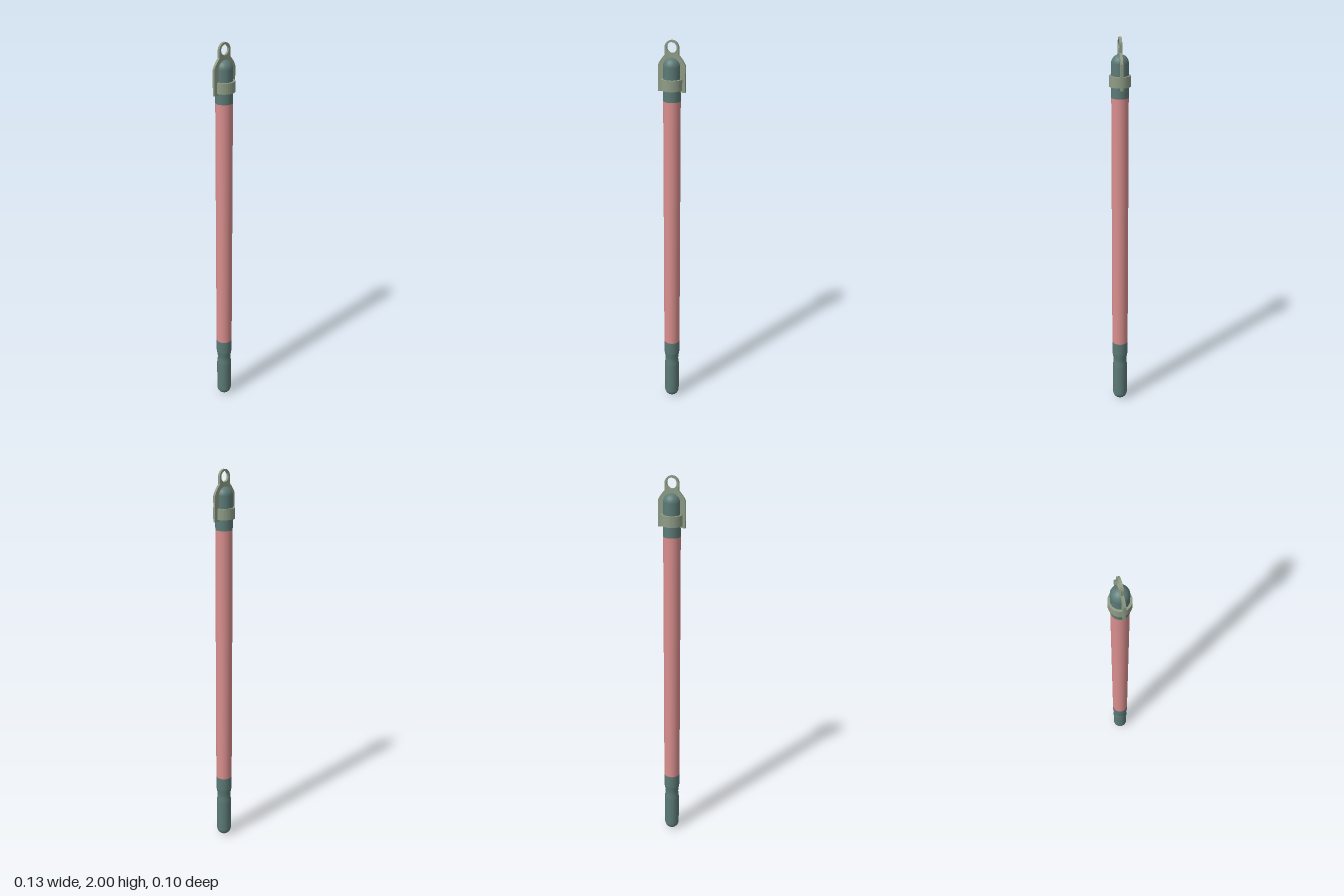
import * as THREE from 'three';

const mat = (color) => new THREE.MeshStandardMaterial({ color });

export function createModel() {
  const group = new THREE.Group();
  const rubber = mat(0x5c7a76), tube = mat(0xd98e8e), metal = mat(0x8f9c86);

  const add = (name, geometry, material) => {
    const mesh = new THREE.Mesh(geometry, material);
    mesh.name = name;
    group.add(mesh);
    return mesh;
  };
  const lathe = (points) => new THREE.LatheGeometry(points.map(([r, y]) => new THREE.Vector2(r, y)), 32);
  // quarter-circle profile of a dome; dir -1 gives a bottom, +1 a top
  const dome = (r, y, dir) => Array.from({ length: 9 }, (_, i) => {
    const a = (i / 8) * Math.PI / 2;
    return dir < 0 ? [r * Math.sin(a), y - r * Math.cos(a)] : [r * Math.cos(a), y + r * Math.sin(a)];
  });

  // waisted grip with rounded bottom
  const R = 0.042;
  add('grip', lathe([
    ...dome(0.039, 0.039, -1), [0.039, 0.205], [0.038, 0.225], [0.035, 0.243],
    [0.036, 0.262], [0.04, 0.285], [R, 0.3], [R, 0.366],
  ]), rubber);

  // long tube
  add('tube', new THREE.CylinderGeometry(R, R, 1.35, 32).translate(0, 1.041, 0), tube);

  // rounded top cap
  add('topCap', lathe([[R, 1.716], ...dome(R, 1.879, 1)]), rubber);

  // clamp band around the cap
  add('clampBand', lathe([
    [R, 1.77], [0.0525, 1.77], [0.0525, 1.77], [0.0525, 1.822], [0.0525, 1.822], [R, 1.822], [R, 1.77],
  ]).toNonIndexed(), metal).geometry.computeVertexNormals();

  // flat bracket with shoulders, cap cut-out and hanging eye
  const shape = new THREE.Shape();
  shape.moveTo(0.066, 1.76);
  shape.lineTo(0.066, 1.882);
  shape.quadraticCurveTo(0.063, 1.9, 0.034, 1.932);
  shape.lineTo(0.034, 1.966);
  shape.absarc(0, 1.966, 0.034, 0, Math.PI, false);
  shape.lineTo(-0.034, 1.932);
  shape.quadraticCurveTo(-0.063, 1.9, -0.066, 1.882);
  shape.lineTo(-0.066, 1.76);
  shape.lineTo(-0.04, 1.76);
  shape.lineTo(-0.04, 1.879);
  shape.absarc(0, 1.879, 0.04, Math.PI, 0, true);
  shape.lineTo(0.04, 1.76);
  shape.closePath();
  const eye = new THREE.Path();
  eye.absellipse(0, 1.966, 0.024, 0.025, 0, Math.PI * 2, true);
  shape.holes.push(eye);
  const thick = 0.0125;
  add('hangingBracket', new THREE.ExtrudeGeometry(shape, { depth: thick, bevelEnabled: false, curveSegments: 20 })
    .translate(0, 0, -thick / 2), metal);

  return group;
}
